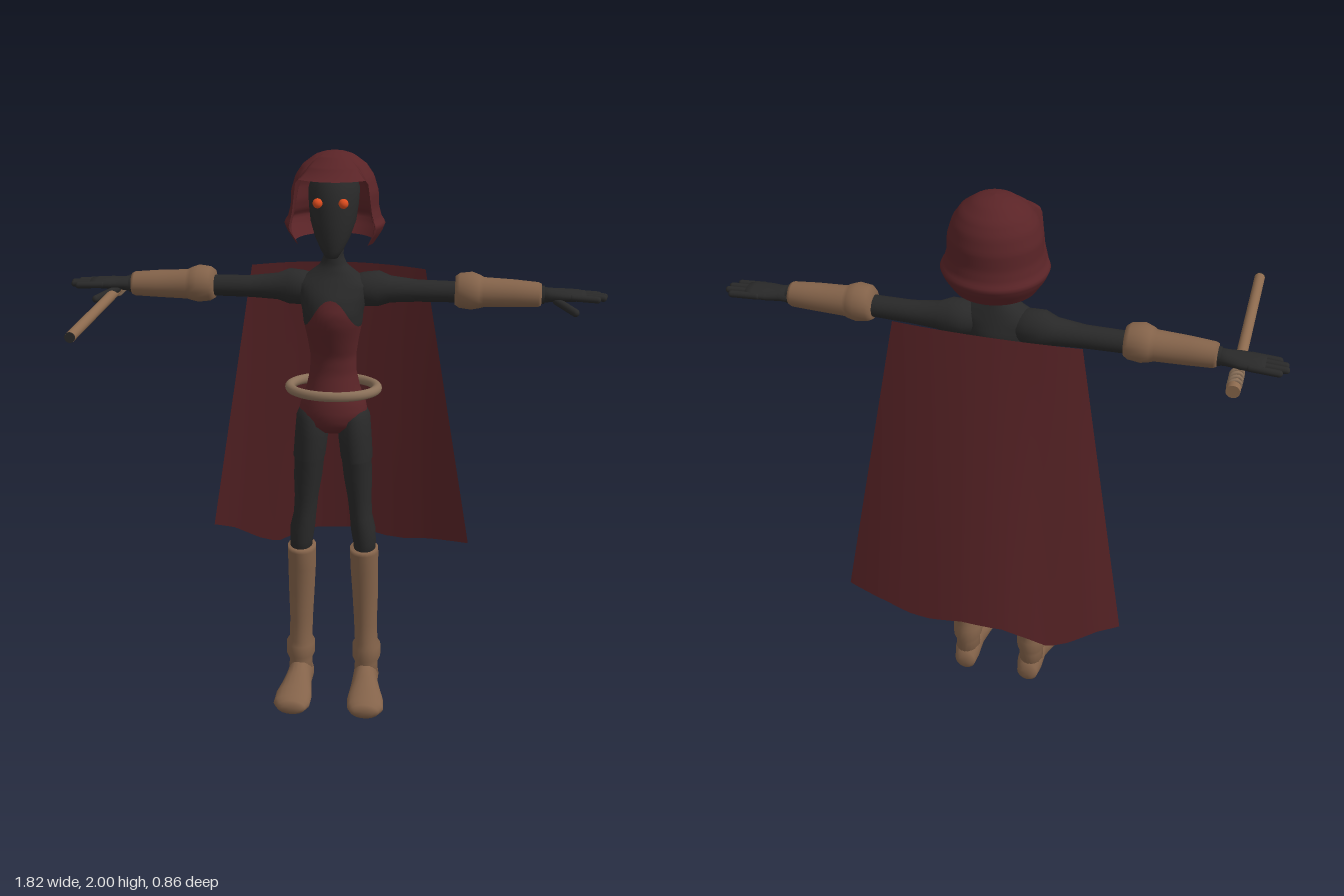
import * as THREE from 'three';

const mat = (name, color, side = THREE.FrontSide) => {
  const m = new THREE.MeshStandardMaterial({ color, side });
  m.name = name;
  return m;
};

// Smooth surface from fn(i, j); j may wrap round
function grid(ni, nj, closed, fn) {
  const pos = [], idx = [], cols = closed ? nj : nj + 1;
  for (let i = 0; i <= ni; i++) for (let j = 0; j < cols; j++) pos.push(...fn(i, j));
  for (let i = 0; i < ni; i++) for (let j = 0; j < nj; j++) {
    const k = (j + 1) % cols, a = i * cols + j, b = a + cols, c = i * cols + k, d = b - j + k;
    idx.push(a, b, c, b, d, c);
  }
  const g = new THREE.BufferGeometry();
  g.setAttribute('position', new THREE.Float32BufferAttribute(pos, 3));
  g.setIndex(idx);
  g.computeVertexNormals();
  return g;
}

// Elliptical sections [t, centreU, centreV, radiusU, radiusV] along an axis, closed at the ends
// y axis: u = x, v = z;  x axis: u = z, v = y;  z axis: u = y, v = x
function loft(axis, sections, n = 20) {
  const cap = s => [s[0], s[1], s[2], 0, 0];
  const s = [cap(sections[0]), ...sections, cap(sections.at(-1))];
  return grid(s.length - 1, n, true, (i, j) => {
    const a = j / n * Math.PI * 2, [t, cu, cv, ru, rv] = s[i];
    const u = cu + ru * Math.cos(a), v = cv + rv * Math.sin(a);
    return axis === 'y' ? [u, t, v] : axis === 'x' ? [t, v, u] : [v, u, t];
  });
}

function mirrored(geo) {
  const g = geo.clone().scale(-1, 1, 1), ix = g.index.array;
  for (let i = 0; i < ix.length; i += 3) [ix[i], ix[i + 1]] = [ix[i + 1], ix[i]];
  g.computeVertexNormals();
  return g;
}

// Linear lookup in rows sorted by their first value
function lookup(rows, t) {
  let i = 0;
  while (i < rows.length - 2 && t > rows[i + 1][0]) i++;
  const a = rows[i], b = rows[i + 1];
  const f = THREE.MathUtils.clamp((t - a[0]) / (b[0] - a[0]), 0, 1);
  return a.map((v, k) => v + (b[k] - v) * f);
}

export function createModel() {
  const root = new THREE.Group();
  root.name = 'capedFigure';
  const red = mat('dark red cloth', 0x5a2427, THREE.DoubleSide);
  const black = mat('black skin', 0x292929);
  const tan = mat('tan leather', 0x84634a);
  const wood = mat('wood', 0x8c6a4e);
  const belt = mat('pale leather', 0x8a7059);
  const orange = mat('orange eye', 0xdc4c1e);

  const add = (name, geo, m, parent = root) => {
    const mesh = new THREE.Mesh(geo, m);
    mesh.name = name;
    parent.add(mesh);
    return mesh;
  };
  const pair = (name, geo, m) => {
    add('left' + name, geo, m);
    add('right' + name, mirrored(geo), m);
  };

  // Torso: y, half width, centre z, half depth
  const body = [
    [1.035, 0, -0.1, 0], [1.05, 0.05, -0.1, 0.06], [1.08, 0.1, -0.1, 0.092], [1.12, 0.118, -0.1, 0.1],
    [1.16, 0.11, -0.1, 0.095], [1.2, 0.093, -0.098, 0.082], [1.26, 0.08, -0.098, 0.066],
    [1.32, 0.078, -0.098, 0.066], [1.38, 0.087, -0.093, 0.082], [1.44, 0.099, -0.087, 0.098],
    [1.48, 0.103, -0.085, 0.1], [1.53, 0.115, -0.092, 0.09], [1.57, 0.125, -0.1, 0.07],
    [1.6, 0.085, -0.105, 0.055], [1.63, 0.045, -0.105, 0.043], [1.66, 0.033, -0.1, 0.037],
    [1.74, 0.038, -0.1, 0.04]];
  const N = 40;
  const neckline = a => 1.43 + 0.1 * Math.max(0, Math.sin(a)) ** 4;
  const bodyPart = (from, to) => grid(30, N, true, (i, j) => {
    const a = j / N * Math.PI * 2, y0 = from(a), y = y0 + (to(a) - y0) * i / 30;
    const [, rx, cz, rz] = lookup(body, y);
    return [rx * Math.cos(a), y, cz + rz * Math.sin(a)];
  });
  add('bodysuit', bodyPart(() => 1.035, neckline), red);
  add('chestAndNeck', bodyPart(neckline, () => 1.74), black);

  // Head and eyes
  add('head', loft('y', [
    [1.665, 0, -0.045, 0.02, 0.02], [1.69, 0, -0.055, 0.037, 0.04], [1.73, 0, -0.075, 0.058, 0.065],
    [1.78, 0, -0.095, 0.075, 0.088], [1.83, 0, -0.11, 0.082, 0.098], [1.88, 0, -0.12, 0.085, 0.1],
    [1.93, 0, -0.125, 0.07, 0.08], [1.96, 0, -0.13, 0.04, 0.045]], 28), black);
  pair('Eye', new THREE.SphereGeometry(0.016, 16, 12).translate(0.042, 1.85, -0.008), orange);

  // Helmet: dome with flared rim, cut away over the face, peaked at the brow
  const dome = [[0, 2, 0], [0.05, 1.995, 0.035], [0.12, 1.985, 0.065], [0.22, 1.955, 0.105],
    [0.32, 1.92, 0.129], [0.45, 1.87, 0.144], [0.6, 1.82, 0.146], [0.72, 1.785, 0.155],
    [0.8, 1.765, 0.168], [0.88, 1.74, 0.158], [1, 1.7, 0.132]];
  const HN = 96;
  add('helmet', grid(36, HN, true, (i, j) => {
    const a = j / HN * Math.PI * 2, off = Math.min(a, Math.PI * 2 - a), v = i / 36;
    const open = 1 - THREE.MathUtils.smoothstep(off, 0.82, 1.05);
    const [, y, r] = lookup(dome, v * (1 - 0.68 * open));
    const R = r + 0.026 * open * v ** 6;
    return [R * Math.sin(a), y, -0.14 + R * Math.cos(a) * 0.97];
  }), red);

  // Arms, bracers and hands: x, z, y, half depth, half height
  pair('Arm', loft('x', [
    [0.04, -0.11, 1.545, 0.04, 0.04], [0.1, -0.115, 1.545, 0.06, 0.057], [0.15, -0.12, 1.547, 0.058, 0.06],
    [0.19, -0.122, 1.545, 0.045, 0.045], [0.28, -0.122, 1.542, 0.037, 0.037],
    [0.42, -0.12, 1.542, 0.036, 0.035], [0.7, -0.12, 1.54, 0.03, 0.03]]), black);
  pair('Bracer', loft('x', [
    [0.405, -0.12, 1.547, 0.045, 0.048], [0.42, -0.118, 1.548, 0.058, 0.058], [0.46, -0.118, 1.548, 0.063, 0.063],
    [0.485, -0.118, 1.546, 0.056, 0.056], [0.5, -0.118, 1.544, 0.048, 0.05], [0.6, -0.118, 1.543, 0.045, 0.046],
    [0.68, -0.118, 1.541, 0.041, 0.041], [0.69, -0.118, 1.541, 0.036, 0.036]]), tan);
  pair('Palm', loft('x', [
    [0.68, -0.12, 1.54, 0.028, 0.028], [0.72, -0.122, 1.54, 0.033, 0.023], [0.76, -0.124, 1.54, 0.043, 0.021],
    [0.81, -0.126, 1.54, 0.045, 0.018], [0.835, -0.126, 1.54, 0.038, 0.013]]), black);
  const finger = (p, q, r) => {
    const a = new THREE.Vector3(...p), d = new THREE.Vector3(...q).sub(a);
    const turn = new THREE.Quaternion().setFromUnitVectors(new THREE.Vector3(0, 1, 0), d.clone().normalize());
    const at = a.addScaledVector(d, 0.5);
    return new THREE.CapsuleGeometry(r, d.length(), 5, 10).applyQuaternion(turn).translate(at.x, at.y, at.z);
  };
  [0.878, 0.897, 0.893, 0.872].forEach((x, i) => {
    const z = -0.16 + i * 0.023;
    pair('Finger' + (i + 1), finger([0.79, z, 0].map((v, k) => [v, 1.54, z][k]), [x, 1.535, z], 0.0115), black);
  });
  pair('Thumb', finger([0.74, 1.525, -0.1], [0.8, 1.503, -0.04], 0.013), black);

  // Legs, boots and feet: y, x, z, half width, half depth
  pair('Leg', loft('y', [
    [0.57, 0.115, -0.09, 0.036, 0.05], [0.63, 0.113, -0.09, 0.041, 0.053], [0.68, 0.108, -0.088, 0.044, 0.057],
    [0.73, 0.1, -0.09, 0.04, 0.054], [0.8, 0.094, -0.09, 0.042, 0.055], [0.88, 0.088, -0.09, 0.05, 0.066],
    [0.945, 0.083, -0.09, 0.052, 0.073], [0.955, 0.083, -0.09, 0.056, 0.077], [1.03, 0.076, -0.095, 0.058, 0.082],
    [1.1, 0.073, -0.1, 0.055, 0.084], [1.14, 0.07, -0.1, 0.04, 0.06]]), black);
  pair('Boot', loft('y', [
    [0.06, 0.122, -0.11, 0.045, 0.055], [0.13, 0.122, -0.113, 0.042, 0.054], [0.155, 0.122, -0.112, 0.052, 0.062],
    [0.2, 0.122, -0.112, 0.052, 0.062], [0.215, 0.121, -0.112, 0.042, 0.053], [0.3, 0.118, -0.108, 0.042, 0.05],
    [0.42, 0.116, -0.106, 0.047, 0.052], [0.52, 0.113, -0.096, 0.05, 0.058], [0.59, 0.112, -0.09, 0.051, 0.062],
    [0.605, 0.112, -0.09, 0.05, 0.061]]), tan);
  // Foot: z, y, x, half height, half width
  pair('Foot', loft('z', [
    [-0.175, 0.045, 0.12, 0.025, 0.025], [-0.165, 0.05, 0.12, 0.043, 0.038], [-0.13, 0.066, 0.121, 0.064, 0.046],
    [-0.06, 0.07, 0.122, 0.068, 0.046], [-0.02, 0.058, 0.126, 0.055, 0.054], [0.03, 0.046, 0.131, 0.042, 0.066],
    [0.07, 0.037, 0.134, 0.034, 0.066], [0.092, 0.034, 0.133, 0.028, 0.052], [0.1, 0.034, 0.132, 0.016, 0.035]]), tan);

  // Belt hoop
  add('belt', new THREE.TorusGeometry(0.15, 0.017, 14, 48).rotateX(Math.PI / 2)
    .scale(1, 1, 0.73).translate(0, 1.2, -0.1), belt);

  // Cape: widening, bowed backwards, with a wavy hem
  const hem = [[-1, 0.55], [-0.85, 0.53], [-0.66, 0.48], [-0.52, 0.46], [-0.38, 0.49], [-0.2, 0.52],
    [0.1, 0.525], [0.35, 0.5], [0.5, 0.497], [0.68, 0.51], [1, 0.52]];
  add('cape', grid(24, 40, false, (i, j) => {
    const v = i / 24, s = j / 20 - 1, bow = 1 - s * s;
    const top = 1.595 - 0.012 * s * s;
    const z = -0.252 - 0.03 * bow - v * (0.088 + 0.062 * bow);
    return [s * (0.3 + 0.18 * v), top + (lookup(hem, s)[1] - top) * v, z];
  }), red);

  // Baton under the right hand, with a wrapped grip
  const baton = new THREE.Group();
  baton.name = 'baton';
  baton.position.set(-0.755, 1.508, 0);
  root.add(baton);
  const rod = (r, z0, z1) => new THREE.CylinderGeometry(r, r, z1 - z0, 20)
    .rotateX(Math.PI / 2).translate(0, 0, (z0 + z1) / 2);
  add('shaft', rod(0.017, -0.23, 0.425), wood, baton);
  add('pommel', rod(0.022, -0.25, -0.225), wood, baton);
  add('tip', rod(0.0165, 0.425, 0.43), black, baton);
  for (let i = 0; i < 4; i++)
    add('gripWrap' + (i + 1), new THREE.TorusGeometry(0.019, 0.006, 8, 20)
      .rotateY(0.3).translate(0, 0, -0.215 + i * 0.02), belt, baton);

  return root;
}
